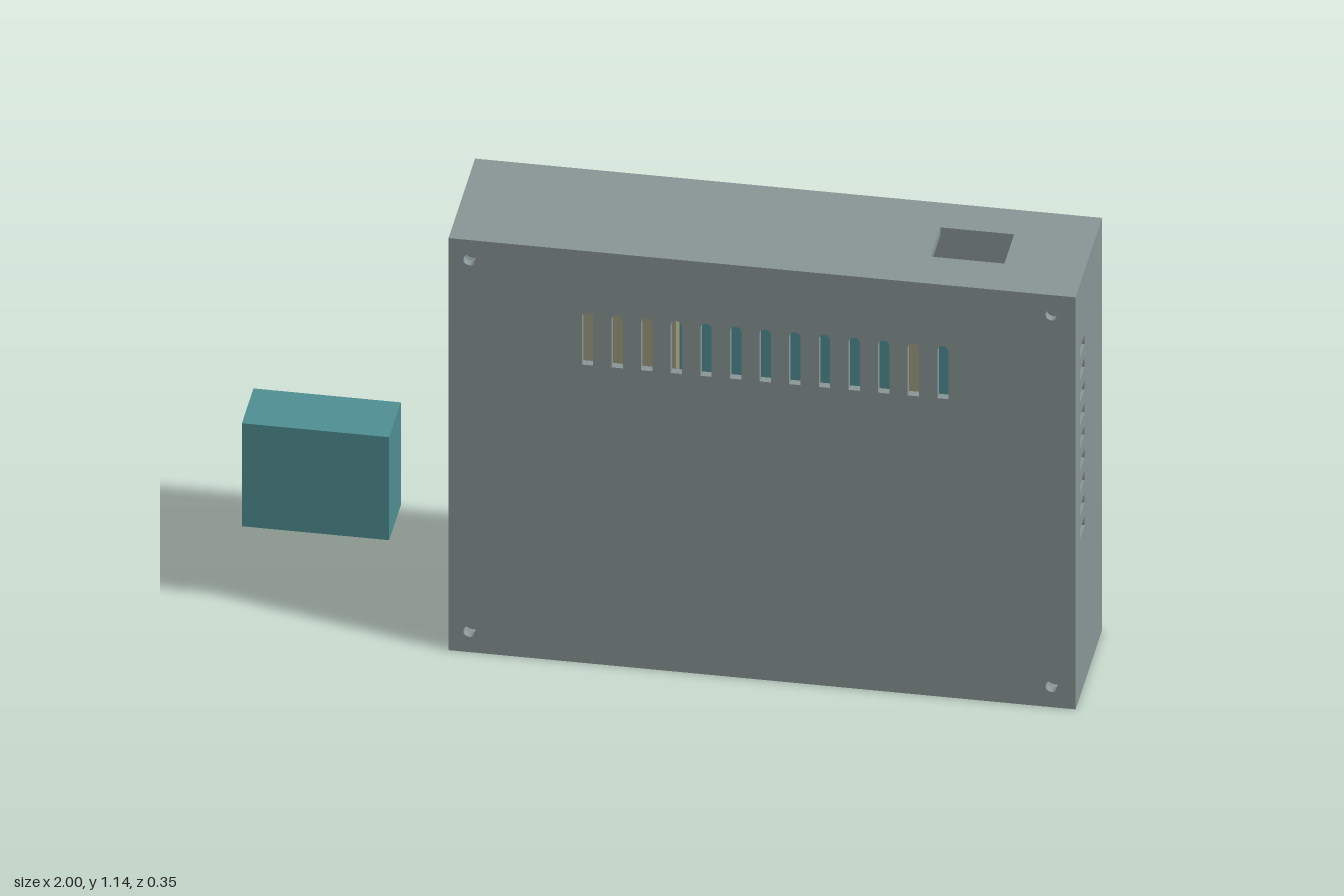
import * as THREE from 'three';

const X0 = -0.49, X1 = 1.0, H = 1.14, ZH = 0.177, T = 0.02;
const grey = new THREE.MeshStandardMaterial({ color: 0x8a9696 });
const teal = new THREE.MeshStandardMaterial({ color: 0x4f9094 });
const tan = new THREE.MeshStandardMaterial({ color: 0xa09c80 });

// Outline tools
function rect(x0, y0, x1, y1, Type = THREE.Path) {
  const p = new Type();
  p.moveTo(x0, y0).lineTo(x1, y0).lineTo(x1, y1).lineTo(x0, y1).closePath();
  return p;
}
function circle(x, y, r) {
  return new THREE.Path().absarc(x, y, r, 0, Math.PI * 2, false);
}
function archedSlot(x, y0, y1, w) {
  const p = new THREE.Path(), r = w / 2;
  p.moveTo(x - r, y0).lineTo(x + r, y0).lineTo(x + r, y1 - r);
  p.absarc(x, y1 - r, r, 0, Math.PI, false);
  return p.closePath();
}

// A flat panel of thickness T with holes
function panel(x0, y0, x1, y1, holes) {
  const shape = rect(x0, y0, x1, y1, THREE.Shape);
  shape.holes.push(...holes);
  return new THREE.ExtrudeGeometry(shape, { depth: T, bevelEnabled: false, curveSegments: 12 });
}

export function createModel() {
  const model = new THREE.Group();
  const enclosure = new THREE.Group();
  enclosure.name = 'enclosure';
  model.add(enclosure);

  const add = (parent, name, geometry, material = grey) => {
    const mesh = new THREE.Mesh(geometry, material);
    mesh.name = name;
    parent.add(mesh);
    return mesh;
  };
  const block = (parent, name, material, x0, x1, y0, y1, z0, z1) =>
    add(parent, name, new THREE.BoxGeometry(x1 - x0, y1 - y0, z1 - z0), material)
      .position.set((x0 + x1) / 2, (y0 + y1) / 2, (z0 + z1) / 2);

  // Front cover: row of vertical vents and four screw holes
  const frontHoles = [];
  for (let i = 0; i < 13; i++) frontHoles.push(archedSlot(-0.16 + i * 0.0704, 0.825, 0.97, 0.027));
  const corners = [];
  for (const x of [-0.44, 0.943]) for (const y of [0.057, 1.085]) corners.push([x, y]);
  for (const [x, y] of corners) frontHoles.push(circle(x, y, 0.015));
  add(enclosure, 'frontCover', panel(X0, 0, X1, H, frontHoles).translate(0, 0, ZH - T));
  add(enclosure, 'backPanel', panel(X0, 0, X1, H, []).translate(0, 0, -ZH));

  // Side walls: a column of vents each, plus a cable hole on the -x wall
  const zi = ZH - T;
  for (const [name, x] of [['leftWall', X1], ['rightWall', X0 + T]]) {
    const holes = [];
    for (let i = 0; i < 9; i++) {
      const y = 0.448 + i * 0.0626;
      holes.push(rect(0.057, y - 0.013, 0.122, y + 0.013));
    }
    if (name === 'rightWall') holes.push(circle(-0.01, 0.316, 0.02));
    add(enclosure, name, panel(-zi, 0, zi, H, holes).rotateY(-Math.PI / 2).translate(x, 0, 0));
  }

  // Top wall with socket opening, and plain bottom wall
  const opening = rect(0.635, -0.07, 0.81, 0.06);
  add(enclosure, 'topWall', panel(X0 + T, -zi, X1 - T, zi, [opening]).rotateX(Math.PI / 2).translate(0, H, 0));
  add(enclosure, 'bottomWall', panel(X0 + T, -zi, X1 - T, zi, []).rotateX(Math.PI / 2).translate(0, T, 0));

  // Screw posts behind the cover
  for (const [x, y] of corners) {
    add(enclosure, 'screwPost', new THREE.CylinderGeometry(0.025, 0.025, 2 * zi - 0.03, 16).rotateX(Math.PI / 2))
      .position.set(x, y, -0.015);
  }

  // Parts glimpsed through the openings
  const internals = new THREE.Group();
  internals.name = 'internals';
  model.add(internals);
  block(internals, 'circuitBoard', teal, -0.38, 0.53, 0.25, 0.88, -0.13, -0.1);
  block(internals, 'boardModule', tan, -0.3, 0.01, 0.6, 0.88, -0.1, -0.05);
  block(internals, 'boardEdgeStrip', tan, 0.53, 0.59, 0.6, 0.88, -0.13, -0.05);
  block(internals, 'socketBody', teal, 0.62, 0.83, 0.76, 0.92, -0.085, 0.073);

  // Separate block beside the enclosure
  block(model, 'outerBlock', teal, -1, -0.65, 0.22, 0.505, -0.085, 0.07);

  return model;
}
